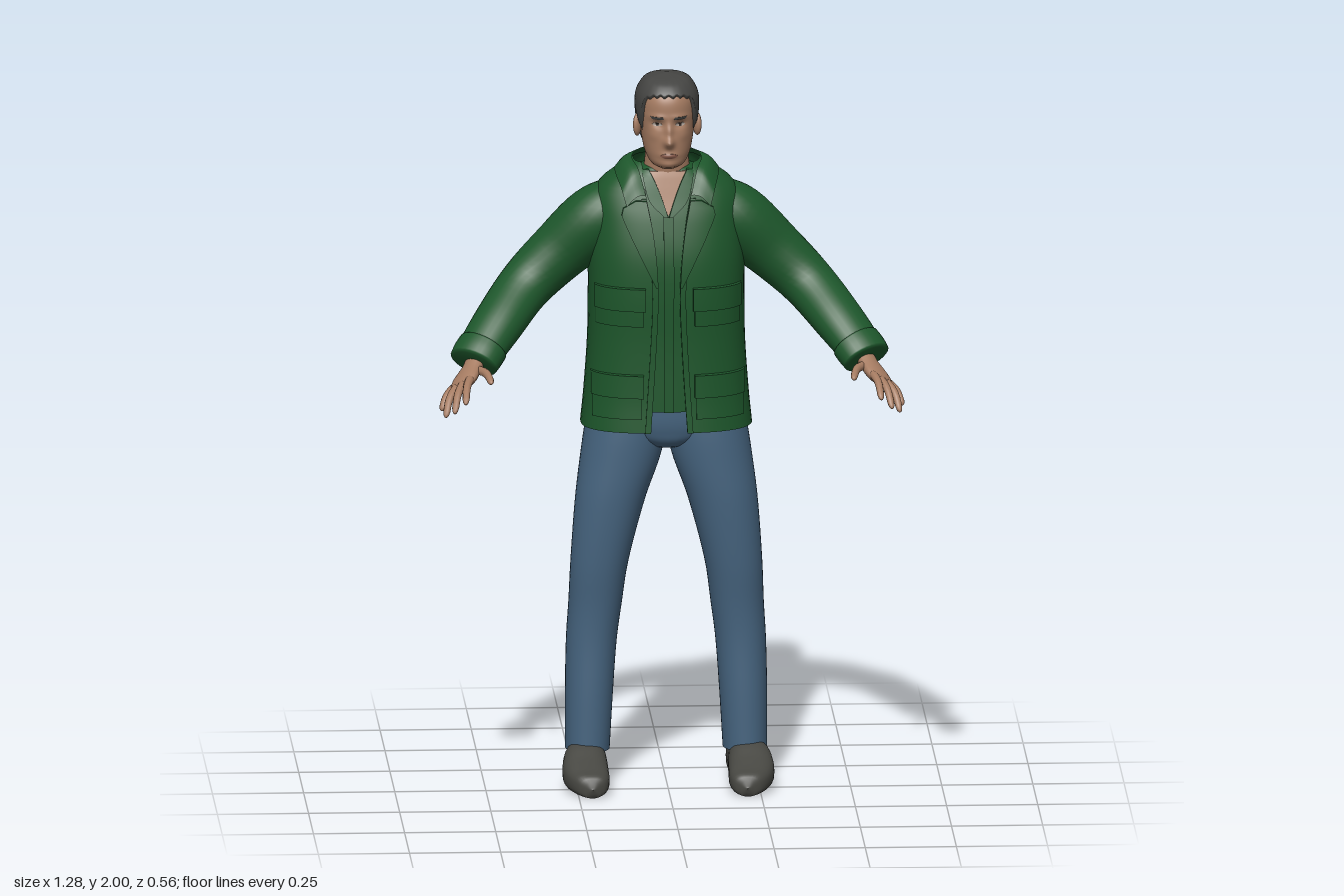
import * as THREE from 'three';
import { mergeVertices } from 'three/addons/utils/BufferGeometryUtils.js';

const mat = (name, color) => new THREE.MeshStandardMaterial({ name, color, side: THREE.DoubleSide });

// Smooth interpolation through rows [t, a, b, ...]
function sample(keys, t) {
  const n = keys.length - 1;
  t = Math.min(Math.max(t, keys[0][0]), keys[n][0]);
  let i = 0;
  while (i < n - 1 && t > keys[i + 1][0]) i++;
  const slope = (j, c) => {
    const a = keys[Math.max(j - 1, 0)], b = keys[Math.min(j + 1, n)];
    return (b[c] - a[c]) / (b[0] - a[0]);
  };
  const p = keys[i], q = keys[i + 1], h = q[0] - p[0], s = (t - p[0]) / h;
  return p.map((v, c) => c === 0 ? t :
    v * (1 + 2 * s) * (1 - s) ** 2 + q[c] * s * s * (3 - 2 * s) +
    h * s * (1 - s) * (slope(i, c) * (1 - s) - slope(i + 1, c) * s));
}

// Smooth surface from fn(u, v) -> [x, y, z]
function grid(fn, nu, nv) {
  const pos = [], idx = [], w = nu + 1;
  for (let j = 0; j <= nv; j++) for (let i = 0; i <= nu; i++) pos.push(...fn(i / nu, j / nv));
  for (let j = 0; j < nv; j++) for (let i = 0; i < nu; i++) {
    const a = j * w + i;
    idx.push(a, a + 1, a + w, a + 1, a + w + 1, a + w);
  }
  let g = new THREE.BufferGeometry();
  g.setAttribute('position', new THREE.Float32BufferAttribute(pos, 3));
  g.setIndex(idx);
  g = mergeVertices(g, 1e-5);
  g.computeVertexNormals();
  return g;
}

// Superellipse ring from a row [y, x0, x1, zFront, zBack]; phi = 0 faces the front
const pw = (v, e) => Math.sign(v) * Math.abs(v) ** e;
const ring = (k, phi, n, off = 0) => [
  (k[1] + k[2]) / 2 + ((k[2] - k[1]) / 2 + off) * pw(Math.sin(phi), 2 / n), k[0],
  (k[3] + k[4]) / 2 + ((k[3] - k[4]) / 2 + off) * pw(Math.cos(phi), 2 / n)];
const frontZ = (k, x, n) => (k[3] + k[4]) / 2 +
  (k[3] - k[4]) / 2 * Math.max(0, 1 - Math.abs(2 * x / (k[2] - k[1])) ** n) ** (1 / n);
const sym = rows => rows.map(([y, w, f, b]) => [y, -w, w, f, b]);
const column = (keys, n, off = 0, nv = 32) => {
  const y0 = keys[0][0], y1 = keys[keys.length - 1][0];
  return grid((u, v) => ring(sample(keys, y0 + (y1 - y0) * v), u * 2 * Math.PI, n, off), 48, nv);
};

// Round-ended limb through points [x, y, z, ra, rb]; ref is the direction of ra
function limb(points, ref, nu = 12, nv = 14, e = 0.15) {
  const keys = points.map((p, i) => [i, ...p]), n = points.length - 1, R = new THREE.Vector3(...ref);
  const at = t => new THREE.Vector3(...sample(keys, t).slice(1, 4));
  return grid((u, v) => {
    const t = (1 - Math.cos(v * Math.PI)) / 2, k = sample(keys, t * n);
    const T = at(Math.min(t * n + 0.02, n)).sub(at(Math.max(t * n - 0.02, 0))).normalize();
    const A = R.clone().addScaledVector(T, -R.dot(T)).normalize(), B = T.clone().cross(A);
    const r = Math.sqrt(Math.max(0, 1 - Math.max(0, 1 - Math.min(t, 1 - t) / e) ** 2)), a = u * 2 * Math.PI;
    return at(t * n).addScaledVector(A, r * k[4] * Math.cos(a)).addScaledVector(B, r * k[5] * Math.sin(a)).toArray();
  }, nu, nv);
}

// Plate lying on a front surface; rows are [y, x0, x1]
function plate(keys, surface, off, depth = 0.004) {
  const g = new THREE.BoxGeometry(1, 1, 1, 10, 12, 1), p = g.attributes.position;
  const y0 = keys[0][0], y1 = keys[keys.length - 1][0];
  for (let i = 0; i < p.count; i++) {
    const k = sample(keys, y0 + (y1 - y0) * (p.getY(i) + 0.5));
    const x = k[1] + (k[2] - k[1]) * (p.getX(i) + 0.5);
    p.setXYZ(i, x, k[0], surface(x, k[0]) + (p.getZ(i) > 0 ? off : -depth));
  }
  g.computeVertexNormals();
  return g;
}

function mirrored(geo) {
  const g = geo.clone().scale(-1, 1, 1), a = g.index.array;
  for (let i = 0; i < a.length; i += 3) [a[i], a[i + 1]] = [a[i + 1], a[i]];
  return g;
}

export function createModel() {
  const model = new THREE.Group();
  const skin = mat('skin', 0xa67c62), hair = mat('hair', 0x444442), green = mat('jacket green', 0x1d562b);
  const denim = mat('denim', 0x46647f), leather = mat('shoe grey', 0x464641), lip = mat('lip', 0x8a5c4c);
  const white = mat('eye white', 0xa89c92), dark = mat('iris', 0x2a221e);
  const add = (name, geo, m) => {
    const mesh = new THREE.Mesh(geo, m);
    mesh.name = name;
    model.add(mesh);
  };
  const both = (name, geo, m) => { add(name + 'Left', geo, m); add(name + 'Right', mirrored(geo), m); };

  // Jacket body, open along the front
  const torso = sym([[1.01, 0.235, 0.055, -0.28], [1.1, 0.226, 0.05, -0.28], [1.25, 0.216, 0.05, -0.279],
    [1.4, 0.214, 0.056, -0.28], [1.5, 0.214, 0.052, -0.277], [1.6, 0.207, 0.032, -0.247], [1.66, 0.198, 0.012, -0.222],
    [1.7, 0.17, -0.003, -0.203], [1.73, 0.125, -0.015, -0.192], [1.75, 0.09, -0.03, -0.185]]);
  const gap = [[1.01, 0.05], [1.25, 0.035], [1.42, 0.03], [1.58, 0.045], [1.66, 0.06], [1.75, 0.07]];
  const chest = (x, y) => frontZ(sample(torso, y), x, 2.6);
  add('jacketBody', grid((u, v) => {
    const y = 1.01 + 0.74 * v, k = sample(torso, y);
    const p = Math.asin((sample(gap, y)[1] / k[2]) ** 1.3);
    return ring(k, p + u * (2 * Math.PI - 2 * p), 2.6);
  }, 64, 44), green);
  for (const s of [-1, 1]) {
    const edge = gap.slice(0, 5).map(([y, g]) => s > 0 ? [y, g, g + 0.016] : [y, -g - 0.016, -g]);
    add('jacketFrontEdge', plate(edge, chest, 0.005, 0.014), green);
  }

  // Shirt with open neck
  const shirt = sym([[1.065, 0.2, 0.036, -0.25], [1.25, 0.195, 0.036, -0.255], [1.4, 0.195, 0.042, -0.255],
    [1.5, 0.195, 0.04, -0.25], [1.6, 0.185, 0.02, -0.225], [1.66, 0.17, 0.002, -0.2], [1.7, 0.14, -0.01, -0.185],
    [1.73, 0.1, -0.02, -0.17], [1.745, 0.045, -0.03, -0.12]]);
  const shirtZ = (x, y) => frontZ(sample(shirt, y), x, 2.6);
  add('shirt', column(shirt, 2.6), green);
  add('shirtPlacket', plate([[1.065, -0.014, 0.014], [1.61, -0.014, 0.014]], shirtZ, 0.005), green);
  add('openNeck', plate([[1.615, -0.002, 0.002], [1.67, -0.022, 0.022], [1.73, -0.05, 0.05]], shirtZ, 0.004), skin);
  both('shirtCollar', plate([[1.61, 0.001, 0.01], [1.65, 0.014, 0.05], [1.7, 0.034, 0.066], [1.735, 0.052, 0.072]],
    shirtZ, 0.014), green);

  // Collar and lapels
  const curve = pts => new THREE.CatmullRomCurve3(pts.map(p => new THREE.Vector3(...p)));
  const inner = curve([[0, 1.768, -0.18], [0.065, 1.766, -0.16], [0.095, 1.757, -0.09], [0.08, 1.735, -0.02], [0.062, 1.67, 0.018]]);
  const outer = curve([[0, 1.69, -0.222], [0.09, 1.697, -0.207], [0.142, 1.727, -0.1], [0.128, 1.685, 0.006], [0.115, 1.64, 0.027]]);
  both('collar', grid((u, v) => {
    const p = outer.getPoint(u).lerp(inner.getPoint(u), v);
    return [p.x, p.y + 0.012 * Math.sin(Math.PI * v), p.z];
  }, 24, 6), green);
  both('lapel', plate([[1.42, 0.03, 0.036], [1.5, 0.035, 0.075], [1.58, 0.045, 0.113], [1.63, 0.055, 0.128], [1.655, 0.06, 0.09]],
    chest, 0.012), green);

  // Pockets with flaps
  for (const [y0, y1, x0, x1] of [[1.05, 1.165, 0.075, 0.208], [1.31, 1.41, 0.07, 0.198]]) {
    both('pocket', plate([[y0, x0, x1], [y1, x0, x1]], chest, 0.012), green);
    both('pocketFlap', plate([[y1 - 0.055, x0 - 0.005, x1 + 0.003], [y1 + 0.008, x0 - 0.005, x1 + 0.003]], chest, 0.021), green);
  }

  // Sleeves and cuffs
  const across = [0.93, 0, -0.36];
  both('sleeve', limb([[0.1, 1.615, -0.11, 0.085, 0.085], [0.19, 1.575, -0.115, 0.095, 0.1], [0.3, 1.48, -0.118, 0.083, 0.08],
    [0.39, 1.395, -0.09, 0.076, 0.07], [0.47, 1.31, 0.01, 0.072, 0.061], [0.54, 1.228, 0.095, 0.064, 0.048]],
    across, 28, 40, 0.03), green);
  both('cuff', limb([[0.508, 1.265, 0.058, 0.072, 0.056], [0.525, 1.245, 0.078, 0.073, 0.056], [0.542, 1.223, 0.1, 0.07, 0.052]],
    across, 28, 16, 0.08), green);

  // Hands
  const spread = [-0.045, 0.025, 0.04];
  both('palm', limb([[0.528, 1.238, 0.08, 0.03, 0.025], [0.545, 1.212, 0.115, 0.033, 0.022], [0.565, 1.19, 0.15, 0.042, 0.02],
    [0.582, 1.174, 0.185, 0.036, 0.014]], spread, 18, 18), skin);
  const fingers = {
    index: [[0.55, 1.2, 0.165], [0.564, 1.186, 0.225], [0.57, 1.15, 0.282]],
    middle: [[0.565, 1.19, 0.16], [0.588, 1.168, 0.222], [0.6, 1.122, 0.272]],
    ring: [[0.58, 1.18, 0.15], [0.61, 1.152, 0.205], [0.623, 1.106, 0.246]],
    little: [[0.59, 1.17, 0.135], [0.618, 1.148, 0.172], [0.632, 1.115, 0.2]],
    thumb: [[0.535, 1.212, 0.12], [0.508, 1.212, 0.172], [0.496, 1.196, 0.23]],
  };
  for (const [name, pts] of Object.entries(fingers))
    both(name + 'Finger', limb(pts.map((p, i) => [...p, 0.0135 - i * 0.002, 0.0125 - i * 0.002]), spread, 10, 12), skin);

  // Jeans
  add('jeansSeat', column(sym([[0.935, 0.005, -0.1, -0.12], [0.955, 0.06, -0.02, -0.2], [1.0, 0.17, 0.01, -0.235],
    [1.09, 0.21, 0.018, -0.24]]), 2.3), denim);
  both('jeansLeg', column([[0.095, 0.155, 0.277, -0.028, -0.19], [0.25, 0.146, 0.277, -0.028, -0.198],
    [0.4, 0.135, 0.274, -0.03, -0.205], [0.5, 0.122, 0.268, -0.024, -0.2], [0.62, 0.105, 0.263, -0.008, -0.186],
    [0.8, 0.058, 0.25, 0.008, -0.202], [0.92, 0.015, 0.235, 0.012, -0.226], [1.0, 0, 0.223, 0.012, -0.24],
    [1.09, 0, 0.207, 0.005, -0.235]], 2.2), denim);

  // Shoes, swept from heel to toe: [z, centre x, half width, height]
  const shoe = [[-0.195, 0.215, 0.002, 0.06], [-0.188, 0.215, 0.034, 0.095], [-0.165, 0.216, 0.049, 0.112], [-0.1, 0.22, 0.053, 0.122],
    [-0.04, 0.226, 0.06, 0.12], [0.02, 0.227, 0.063, 0.092], [0.07, 0.22, 0.055, 0.07], [0.105, 0.214, 0.036, 0.056], [0.119, 0.212, 0.001, 0.03]];
  both('shoe', grid((u, v) => {
    const k = sample(shoe, -0.195 + 0.314 * (1 - Math.cos(v * Math.PI)) / 2), a = u * 2 * Math.PI;
    const end = Math.min(1, k[2] / 0.02);
    return [k[1] + k[2] * pw(Math.cos(a), 0.75), 0.025 * (1 - end) + k[3] / 2 * (end + end * pw(Math.sin(a), 0.75)), k[0]];
  }, 28, 32), leather);

  // Head with sculpted face
  const skull = sym([[1.742, 0.02, 0.005, -0.05], [1.755, 0.044, 0.03, -0.09], [1.78, 0.06, 0.037, -0.135], [1.81, 0.068, 0.039, -0.155],
    [1.85, 0.074, 0.038, -0.17], [1.9, 0.079, 0.039, -0.179], [1.94, 0.077, 0.034, -0.176], [1.97, 0.062, 0.012, -0.152],
    [1.985, 0.042, -0.018, -0.125], [1.993, 0.001, -0.069, -0.071]]);
  const bumps = [[0, 1.824, 0.013, 0.014, 0.024], [0, 1.853, 0.009, 0.022, 0.013], [0.03, 1.873, 0.017, 0.011, -0.01],
    [0.03, 1.893, 0.022, 0.008, 0.004], [0, 1.786, 0.022, 0.008, 0.006], [0, 1.757, 0.022, 0.01, 0.005], [0.042, 1.84, 0.016, 0.014, 0.003]];
  const relief = (x, y) => bumps.reduce((sum, [bx, by, sx, sy, h]) =>
    sum + h * Math.exp(-(((Math.abs(x) - bx) / sx) ** 2) - ((y - by) / sy) ** 2), 0);
  const face = (x, y) => frontZ(sample(skull, y), x, 2.2) + relief(x, y);
  add('head', grid((u, v) => {
    const phi = u * 2 * Math.PI, p = ring(sample(skull, 1.742 + 0.251 * Math.sin(v * Math.PI / 2)), phi, 2.2);
    if (Math.cos(phi) > 0) p[2] += relief(p[0], p[1]) * Math.min(1, 3 * Math.cos(phi));
    return p;
  }, 96, 72), skin);
  add('neck', column(sym([[1.6, 0.07, -0.025, -0.13], [1.7, 0.066, -0.018, -0.14], [1.76, 0.06, -0.012, -0.145], [1.8, 0.058, -0.01, -0.14]]), 2), skin);
  both('ear', new THREE.SphereGeometry(1, 16, 12).scale(0.011, 0.032, 0.019).rotateY(0.35).translate(0.082, 1.856, -0.052), skin);

  // Face details
  both('eyebrow', plate([[1.888, 0.014, 0.046], [1.895, 0.016, 0.05]], face, 0.003), hair);
  both('eye', plate([[1.868, 0.024, 0.038], [1.872, 0.018, 0.045], [1.877, 0.023, 0.04]], face, 0.002), white);
  both('iris', plate([[1.868, 0.028, 0.035], [1.877, 0.027, 0.036]], face, 0.0035), dark);
  add('lips', plate([[1.779, -0.012, 0.012], [1.786, -0.025, 0.025], [1.792, -0.012, 0.012]], face, 0.002), lip);

  // Short hair with a slightly ragged hairline
  const hairline = [[0, 1.948], [0.5, 1.946], [0.85, 1.93], [1.02, 1.875], [1.2, 1.85], [1.4, 1.882], [1.65, 1.875], [1.85, 1.805], [2.3, 1.785], [3.15, 1.777]];
  add('hair', grid((u, v) => {
    const phi = u * 2 * Math.PI, low = sample(hairline, Math.min(phi, 2 * Math.PI - phi))[1] + 0.003 * Math.cos(phi * 24);
    const lift = Math.min(1, v * 10), y = low + (1.993 - low) * Math.sin(v * Math.PI / 2);
    const p = ring(sample(skull, y), phi, 2.2, v > 0.999 ? 0 : (0.001 + 0.008 * lift) * Math.min(1, 6 * (1 - v)));
    return [p[0], p[1] + 0.007 * v * v, p[2]];
  }, 120, 36), hair);

  return model;
}
